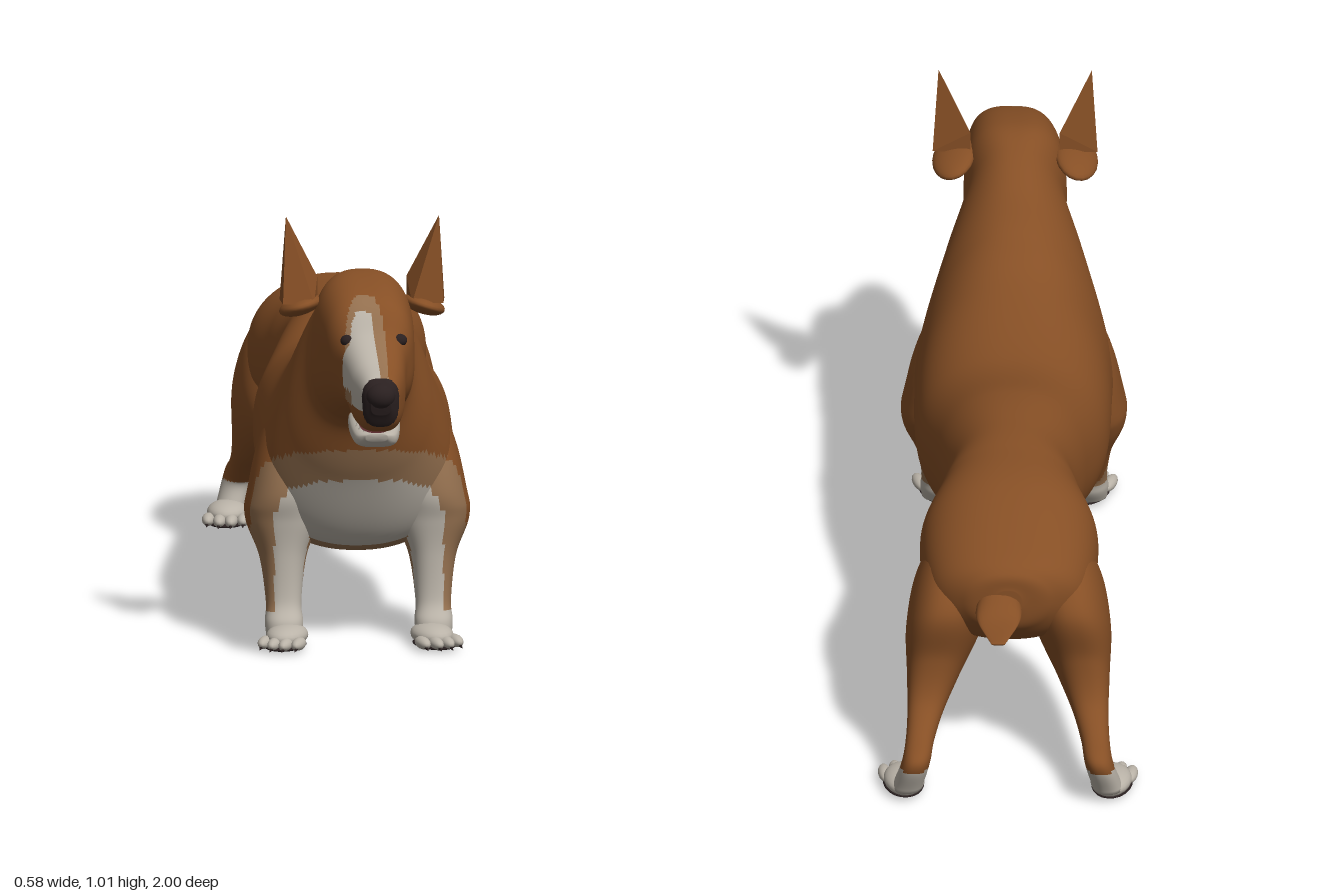
import * as THREE from 'three';
import { ConvexGeometry } from 'three/addons/geometries/ConvexGeometry.js';

const mat = (name, color) => Object.assign(new THREE.MeshStandardMaterial({ color }), { name });

export function createModel() {
  const model = new THREE.Group();
  model.name = 'dog';
  const brown = mat('brown coat', 0x864f25);
  const white = mat('white coat', 0xbab3a8);
  const blend = mat('blended coat', 0x94704f);
  const dark = mat('nose black', 0x2a2020);
  const pink = mat('tongue pink', 0xc4646c);
  const coat = [brown, white, blend, dark];
  const BROWN = 0, WHITE = 1, BLEND = 2, DARK = 3;
  const { smoothstep } = THREE.MathUtils;

  // Smooth skin through sections [z1, y1, z2, y2, half width], the two opposite outline
  // points of each ring. centre(y, z) gives its x, pear(z) widens the lower half,
  // paint(x, y, z) picks a coat index for each small patch.
  function loft(name, sections, centre, paint, sides = 48, steps = 10, pear = () => 0) {
    const curve = (f) => new THREE.CatmullRomCurve3(sections.map(f), false, 'catmullrom', 0.5);
    const c1 = curve((q) => new THREE.Vector3(q[4], q[1], q[0]));
    const c2 = curve((q) => new THREE.Vector3(0, q[3], q[2]));
    const rows = (sections.length - 1) * steps, pos = [], faces = [[], [], [], []], caps = [];
    for (let i = 0; i <= rows; i++) {
      const p = c1.getPoint(i / rows), q = c2.getPoint(i / rows);
      const y = (p.y + q.y) / 2, z = (p.z + q.z) / 2, x = centre(y, z);
      // The head is squarer than the rest
      const power = 0.9 - 0.2 * smoothstep(z, 0.5, 0.68);
      const round = (v) => Math.sign(v) * Math.pow(Math.abs(v), power);
      for (let j = 0; j < sides; j++) {
        const t = (j / sides) * Math.PI * 2, c = round(Math.cos(t)), d = round(Math.sin(t));
        pos.push(x + d * p.x * (1 - pear(z) * c), y + c * (p.y - q.y) / 2, z + c * (p.z - q.z) / 2);
      }
      if (i === 0 || i === rows) caps.push(x, y, z);
    }
    pos.push(...caps);
    const patch = (a, b, ...tris) => {
      const mid = [0, 1, 2].map((k) => (pos[a * 3 + k] + pos[b * 3 + k]) / 2);
      faces[paint(...mid)].push(...tris);
    };
    const first = (rows + 1) * sides;
    for (let j = 0; j < sides; j++) {
      const n = (j + 1) % sides, last = rows * sides;
      for (let i = 0; i < rows; i++) {
        const a = i * sides, b = a + sides;
        patch(a + j, b + n, a + j, b + j, a + n, b + j, b + n, a + n);
      }
      patch(first, j, first, j, n);
      patch(first + 1, last + j, first + 1, last + n, last + j);
    }
    const g = new THREE.BufferGeometry();
    g.setAttribute('position', new THREE.Float32BufferAttribute(pos, 3));
    g.setIndex(faces.flat());
    let start = 0;
    faces.forEach((f, m) => {
      if (f.length) g.addGroup(start, f.length, m);
      start += f.length;
    });
    g.computeVertexNormals();
    add(model, name, g, coat);
  }

  function add(parent, name, geometry, material) {
    const m = new THREE.Mesh(geometry, material);
    m.name = name;
    parent.add(m);
    return m;
  }

  function ball(parent, name, material, [x, y, z], [rx, ry, rz], detail = 20) {
    const g = new THREE.SphereGeometry(1, detail, Math.ceil(detail * 0.7)).scale(rx, ry, rz);
    const m = add(parent, name, g, material);
    m.position.set(x, y, z);
    return m;
  }

  // Chest bib, face blaze and nose tip
  const inside = (x, y, w, y0, h) => Math.abs(x / w) ** 3 + Math.abs((y - y0) / h) ** 3 < 1;
  const bodyPaint = (x, y, z) => {
    if (z > 0.962) return DARK;
    if (z > 0.74 && y > 0.635) {
      if (inside(x + 0.008, y, 0.03, 0.7, 0.13)) return WHITE;
      if (z > 0.83 && x < 0 && y > 0.665) return WHITE;
      if (inside(x + 0.003, y, 0.046, 0.7, 0.158)) return BLEND;
    }
    if (z > 0.44 && z < 0.62 && inside(x, y, 0.192, 0.25, 0.14)) return WHITE;
    if (z > 0.4 && z < 0.62 && inside(x, y, 0.242, 0.27, 0.195)) return BLEND;
    return BROWN;
  };

  // Trunk, neck, skull and muzzle in one skin; the muzzle turns slightly to the left
  const muzzleX = (y, z) => 0.025 * smoothstep(z, 0.62, 0.95);
  loft('body and head', [
    [-0.85, 0.49, -0.85, 0.43, 0.03],
    [-0.84, 0.53, -0.83, 0.38, 0.1],
    [-0.78, 0.565, -0.75, 0.315, 0.175],
    [-0.6, 0.63, -0.56, 0.28, 0.2],
    [-0.45, 0.645, -0.45, 0.285, 0.165],
    [-0.34, 0.648, -0.34, 0.28, 0.145],
    [-0.2, 0.645, -0.2, 0.26, 0.17],
    [0, 0.62, 0, 0.22, 0.215],
    [0.25, 0.675, 0.28, 0.2, 0.22],
    [0.36, 0.745, 0.44, 0.22, 0.205],
    [0.44, 0.82, 0.55, 0.4, 0.157],
    [0.53, 0.868, 0.61, 0.53, 0.115],
    [0.62, 0.885, 0.68, 0.56, 0.115],
    [0.76, 0.852, 0.75, 0.59, 0.1],
    [0.83, 0.78, 0.81, 0.605, 0.074],
    [0.9, 0.735, 0.88, 0.577, 0.06],
    [0.97, 0.705, 0.95, 0.59, 0.042],
    [0.99, 0.67, 0.98, 0.63, 0.022],
  ], muzzleX, bodyPaint, 112, 18, (z) => 0.26 * Math.exp(-(((z - 0.42) / 0.17) ** 2)));

  // Tail
  loft('tail', [
    [-0.8, 0.38, -0.8, 0.5, 0.045],
    [-0.86, 0.415, -0.87, 0.472, 0.052],
    [-0.92, 0.433, -0.92, 0.45, 0.044],
    [-1, 0.433, -1, 0.438, 0.015],
  ], () => 0.02, () => BROWN, 24);

  // Lower jaw, tongue, teeth and nose
  loft('lower jaw', [
    [0.66, 0.6, 0.66, 0.55, 0.05],
    [0.76, 0.592, 0.76, 0.538, 0.058],
    [0.86, 0.572, 0.85, 0.53, 0.048],
    [0.89, 0.568, 0.885, 0.55, 0.024],
  ], () => 0.02, (x, y, z) => (z > 0.73 ? WHITE : BROWN), 28);
  ball(model, 'tongue', pink, [0.02, 0.58, 0.83], [0.038, 0.02, 0.065]);
  for (let i = 0; i < 11; i++) {
    const a = (i / 10) * Math.PI;
    const tooth = add(model, 'tooth', new THREE.ConeGeometry(0.005, 0.02, 6), white);
    tooth.position.set(0.02 + Math.cos(a) * 0.043, 0.579, 0.8 + Math.sin(a) * 0.075);
  }
  ball(model, 'nose', dark, [0.025, 0.672, 0.969], [0.034, 0.03, 0.031]);
  ball(model, 'belly fold', brown, [0, 0.276, -0.33], [0.024, 0.02, 0.075]);

  // Flat paw with toes, claws and dark pads
  function paw(name, x, z, turn) {
    const g = new THREE.Group();
    g.name = name;
    g.position.set(x, 0, z);
    g.rotation.y = turn;
    model.add(g);
    ball(g, 'foot', white, [0, 0.027, -0.008], [0.046, 0.026, 0.066]);
    ball(g, 'pad', dark, [0, 0.008, 0.008], [0.046, 0.008, 0.07]);
    for (let i = 0; i < 4; i++) {
      const o = i - 1.5, tz = 0.06 - Math.abs(o) * 0.014;
      ball(g, 'toe', white, [o * 0.026, 0.018, tz], [0.015, 0.014, 0.035], 14);
      const claw = add(g, 'claw', new THREE.ConeGeometry(0.005, 0.02, 8), dark);
      claw.rotation.x = Math.PI / 2 + 0.3;
      claw.position.set(o * 0.027, 0.01, tz + 0.034);
    }
  }

  for (const s of [1, -1]) {
    const side = s > 0 ? 'left ' : 'right ';

    // Front leg with shoulder: front outline, back outline
    loft(side + 'front leg', [
      [0.41, 0.62, 0.3, 0.6, 0.02],
      [0.46, 0.47, 0.25, 0.45, 0.07],
      [0.485, 0.35, 0.25, 0.33, 0.083],
      [0.475, 0.28, 0.28, 0.26, 0.083],
      [0.468, 0.2, 0.33, 0.18, 0.053],
      [0.475, 0.1, 0.395, 0.09, 0.04],
      [0.5, 0.055, 0.41, 0.05, 0.043],
      [0.505, 0.02, 0.43, 0.02, 0.04],
    ], (y) => s * (0.168 - 0.14 * Math.max(0, y - 0.3)), (x, y, z) => {
      if (y > 0.24) return bodyPaint(x, y, z);
      if (y < 0.075 || (z > 0.43 && Math.abs(x) < 0.19)) return WHITE;
      return z > 0.4 ? BLEND : BROWN;
    });
    paw(side + 'front paw', s * 0.165, 0.5, s * 0.3);

    // Hind leg from thigh to hock: front outline, back outline
    loft(side + 'hind leg', [
      [-0.42, 0.31, -0.62, 0.57, 0.04],
      [-0.47, 0.275, -0.74, 0.52, 0.083],
      [-0.57, 0.228, -0.835, 0.42, 0.085],
      [-0.7, 0.177, -0.825, 0.3, 0.06],
      [-0.8, 0.142, -0.845, 0.21, 0.041],
      [-0.865, 0.105, -0.905, 0.158, 0.032],
      [-0.885, 0.08, -0.98, 0.115, 0.032],
      [-0.87, 0.025, -0.95, 0.025, 0.034],
    ], (y) => s * (0.232 - 0.27 * y), (x, y, z) => (y < 0.092 && z < -0.85 ? WHITE : BROWN));
    paw(side + 'hind paw', s * 0.233, -0.872, s * 0.12);

    // Upright pointed ear with a folded base
    const ear = [[0.1, 0.87, 0.6], [0.1, 0.82, 0.6], [0.185, 0.82, 0.605],
      [0.11, 0.82, 0.66], [0.18, 0.82, 0.665], [0.172, 1.015, 0.63]];
    add(model, side + 'ear', new ConvexGeometry(
      ear.map(([x, y, z]) => new THREE.Vector3(x * s, y, z))), brown);
    const fold = ball(model, side + 'ear fold', brown, [s * 0.138, 0.805, 0.605], [0.05, 0.021, 0.08]);
    fold.rotation.set(-0.15, 0, -s * 0.3);

    // Eye
    ball(model, side + 'eye', dark, [0.017 + s * 0.056, 0.766, 0.81], [0.019, 0.015, 0.017]);
  }
  return model;
}
